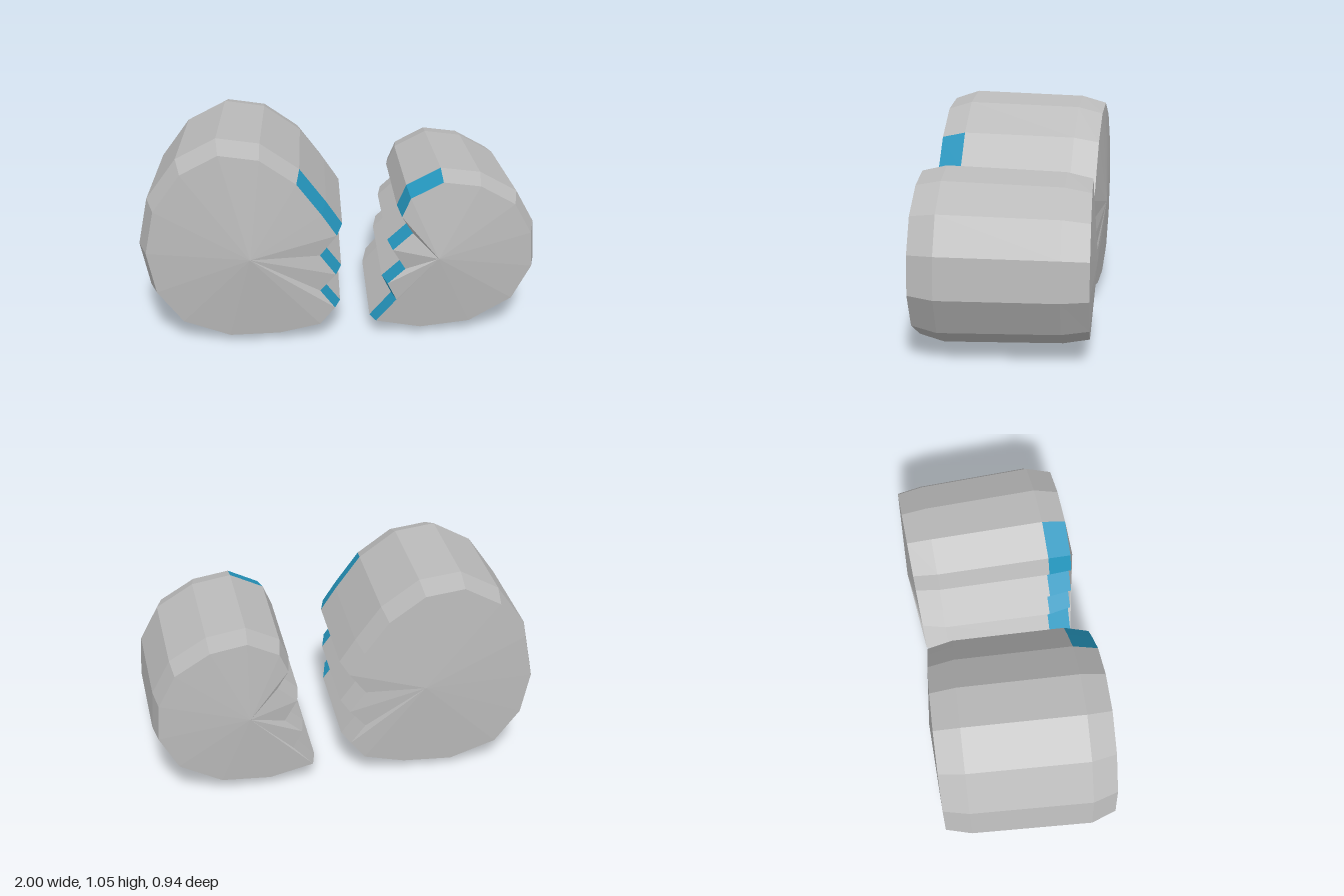
import * as THREE from 'three';

const grey = new THREE.MeshStandardMaterial({ color: 0xbababa, flatShading: true });
grey.name = 'shell grey';
const blue = new THREE.MeshStandardMaterial({ color: 0x2596be, flatShading: true });
blue.name = 'rim blue';

// One ring: the outline scaled about its hub, shifted in x, with z tilting along x
function makeRing(outline, [hx, hy], { z, scale, dx = 0, tilt = 0 }) {
  return outline.map(([x, y]) => {
    const px = hx + (x - hx) * scale;
    return [px + dx, hy + (y - hy) * scale, z + tilt * (px - hx)];
  });
}

// Strip of quads between a front ring and the ring behind it, for edges from..to-1
function strip(front, back, from = 0, to = front.length) {
  const pos = [];
  for (let i = from; i < to; i++) {
    const j = (i + 1) % front.length;
    pos.push(...front[i], ...front[j], ...back[j], ...front[i], ...back[j], ...back[i]);
  }
  return pos;
}

// Shallow cone of triangles from a hub point to a rim
function fan(hub, rim, facesFront) {
  const pos = [];
  rim.forEach((p, i) => {
    const q = rim[(i + 1) % rim.length];
    pos.push(...hub, ...(facesFront ? q : p), ...(facesFront ? p : q));
  });
  return pos;
}

function part(name, positions, material) {
  const geo = new THREE.BufferGeometry();
  geo.setAttribute('position', new THREE.Float32BufferAttribute(positions, 3));
  geo.computeVertexNormals();
  const mesh = new THREE.Mesh(geo, material);
  mesh.name = name;
  return mesh;
}

// A toothed drum: front cap, front bevel (partly blue), barrel, back bevel, back cap
function makeHalf(name, { outline, hub, frontHub, backHub, rings, blueFrom, blueTo }) {
  const [rimF, bodyF, bodyB, rimB] = rings.map((r) => makeRing(outline, hub, r));
  const half = new THREE.Group();
  half.name = name;
  half.add(
    part('frontCap', fan(frontHub, rimF, true), grey),
    part('frontBevel', [...strip(rimF, bodyF, 0, blueFrom), ...strip(rimF, bodyF, blueTo)], grey),
    part('blueToothBevel', strip(rimF, bodyF, blueFrom, blueTo), blue),
    part('barrel', strip(bodyF, bodyB), grey),
    part('backBevel', strip(bodyB, rimB), grey),
    part('backCap', fan(backHub, rimB, false), grey)
  );
  return half;
}

export function createModel() {
  const model = new THREE.Group();
  model.name = 'splitDrum';

  // Larger half, on the model's right; outlines run clockwise seen from the front
  model.add(makeHalf('largeHalf', {
    outline: [
      [-0.6, 1.05], [-0.39, 1.02], [-0.2, 0.885], [-0.07, 0.71], [0.01, 0.59],
      [-0.08, 0.475], [0.005, 0.36], [-0.08, 0.265], [0.0, 0.16], [-0.08, 0.06],
      [-0.3, 0.01], [-0.57, 0.0], [-0.82, 0.09], [-0.955, 0.27], [-1, 0.5],
      [-0.95, 0.74], [-0.8, 0.945],
    ],
    hub: [-0.45, 0.485],
    frontHub: [-0.45, 0.485, 0.47],
    backHub: [-0.37, 0.49, -0.465],
    rings: [
      { z: 0.41, scale: 0.925, tilt: 0.03 },
      { z: 0.285, scale: 1, tilt: 0.03 },
      { z: -0.305, scale: 0.98, dx: 0.03, tilt: 0.045 },
      { z: -0.435, scale: 0.92, dx: 0.035, tilt: 0.04 },
    ],
    blueFrom: 2, blueTo: 9,
  }));

  // Smaller half, on the model's left
  model.add(makeHalf('smallHalf', {
    outline: [
      [0.5, 0.86], [0.7, 0.83], [0.89, 0.72], [0.985, 0.55], [1, 0.35],
      [0.9, 0.16], [0.67, 0.03], [0.4, 0.005], [0.155, 0.055], [0.265, 0.18],
      [0.215, 0.28], [0.31, 0.365], [0.24, 0.48], [0.345, 0.575], [0.285, 0.67],
      [0.33, 0.775],
    ],
    hub: [0.475, 0.44],
    frontHub: [0.48, 0.445, 0.435],
    backHub: [0.51, 0.42, -0.47],
    rings: [
      { z: 0.38, scale: 0.93, tilt: -0.03 },
      { z: 0.26, scale: 1, tilt: -0.04 },
      { z: -0.315, scale: 0.96, tilt: -0.03 },
      { z: -0.44, scale: 0.9, dx: 0.01, tilt: -0.04 },
    ],
    blueFrom: 7, blueTo: 16,
  }));

  return model;
}
